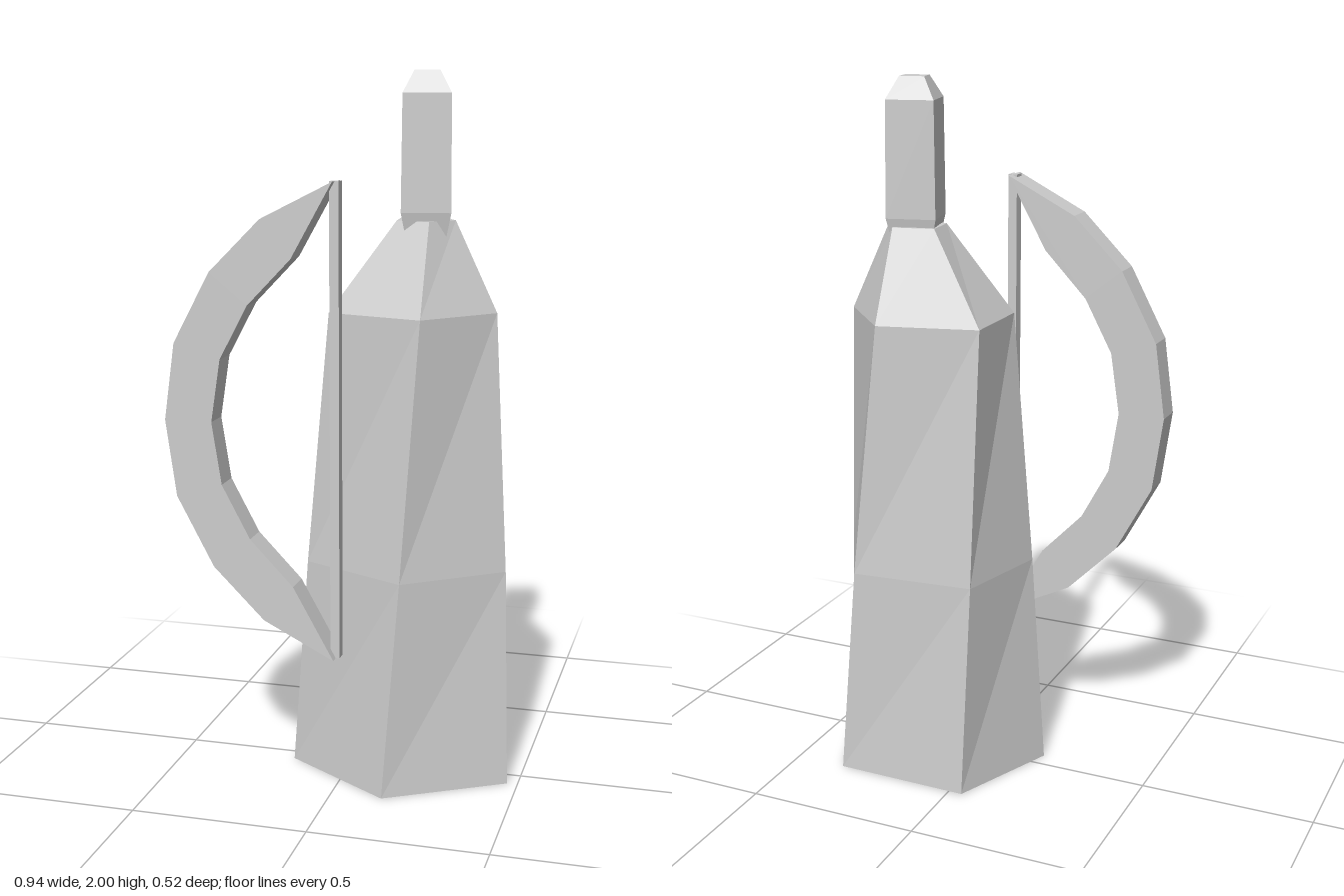
import * as THREE from 'three';

// Faceted solid through stacked rings of [x, z] corners, listed front -> right -> back -> left
function loft(rings) {
  const n = rings[0].pts.length;
  const pos = [];
  const at = (r, i) => [r.pts[i % n][0], r.y, r.pts[i % n][1]];
  const tri = (a, b, c) => pos.push(...a, ...b, ...c);
  for (let k = 0; k < rings.length - 1; k++) {
    for (let i = 0; i < n; i++) {
      const lo = rings[k], hi = rings[k + 1];
      tri(at(lo, i), at(lo, i + 1), at(hi, i + 1));
      tri(at(lo, i), at(hi, i + 1), at(hi, i));
    }
  }
  const bottom = rings[0], top = rings[rings.length - 1];
  for (let i = 1; i < n - 1; i++) {
    tri(at(bottom, 0), at(bottom, i + 1), at(bottom, i));
    tri(at(top, 0), at(top, i), at(top, i + 1));
  }
  const g = new THREE.BufferGeometry();
  g.setAttribute('position', new THREE.Float32BufferAttribute(pos, 3));
  g.computeVertexNormals();
  return g;
}

export function createModel() {
  const group = new THREE.Group();
  const grey = new THREE.MeshStandardMaterial({ color: 0xcccccc, flatShading: true });
  grey.name = 'plain grey';
  const add = (name, geometry) => {
    const mesh = new THREE.Mesh(geometry, grey);
    mesh.name = name;
    group.add(mesh);
    return mesh;
  };

  // Five-sided robe, twisting slightly as it rises to the shoulders and neck
  add('robe', loft([
    { y: 0, pts: [[0.145, 0.25], [0.47, 0.06], [0.35, -0.255], [-0.04, -0.26], [-0.17, 0.05]] },
    { y: 0.62, pts: [[0.185, 0.215], [0.447, 0.02], [0.3, -0.247], [-0.05, -0.217], [-0.12, 0.066]] },
    { y: 1.345, pts: [[0.225, 0.16], [0.4, -0.03], [0.23, -0.222], [-0.05, -0.152], [-0.05, 0.085]] },
    { y: 1.597, pts: [[0.222, 0.045], [0.28, -0.032], [0.23, -0.11], [0.115, -0.085], [0.125, 0.015]] },
  ]));

  // Four-sided head, pinched at the neck and bevelled at the crown
  const centre = [0.197, -0.03];
  const corners = [[0.143, 0.046], [0.278, 0.02], [0.25, -0.11], [0.115, -0.077]];
  const headRing = (y, s) => ({
    y,
    pts: corners.map(([x, z]) => [centre[0] + (x - centre[0]) * s, centre[1] + (z - centre[1]) * s]),
  });
  add('head', loft([headRing(1.55, 0.8), headRing(1.62, 1), headRing(1.94, 0.96), headRing(2, 0.5)]));

  // Bow limb: upper half outline mirrored about the grip
  const midY = 1.057;
  const outer = [[0.01, 0.658], [-0.19, 0.557], [-0.335, 0.412], [-0.44, 0.215], [-0.47, 0]];
  const inner = [[-0.335, 0], [-0.308, 0.175], [-0.228, 0.325], [-0.105, 0.453]];
  const flip = (pts) => pts.map(([x, y]) => [x, -y]).reverse();
  const outline = [...outer, ...flip(outer.slice(0, 4)), ...flip(inner), ...inner.slice(1)];
  const bow = add('bow', new THREE.ExtrudeGeometry(
    new THREE.Shape(outline.map(([x, y]) => new THREE.Vector2(x, y + midY))),
    { depth: 0.082, bevelEnabled: false },
  ));
  bow.position.z = 0.179;

  // Straight bowstring
  const string = add('bowString', new THREE.BoxGeometry(0.026, 1.316, 0.032));
  string.position.set(0.008, midY, 0.22);

  return group;
}
